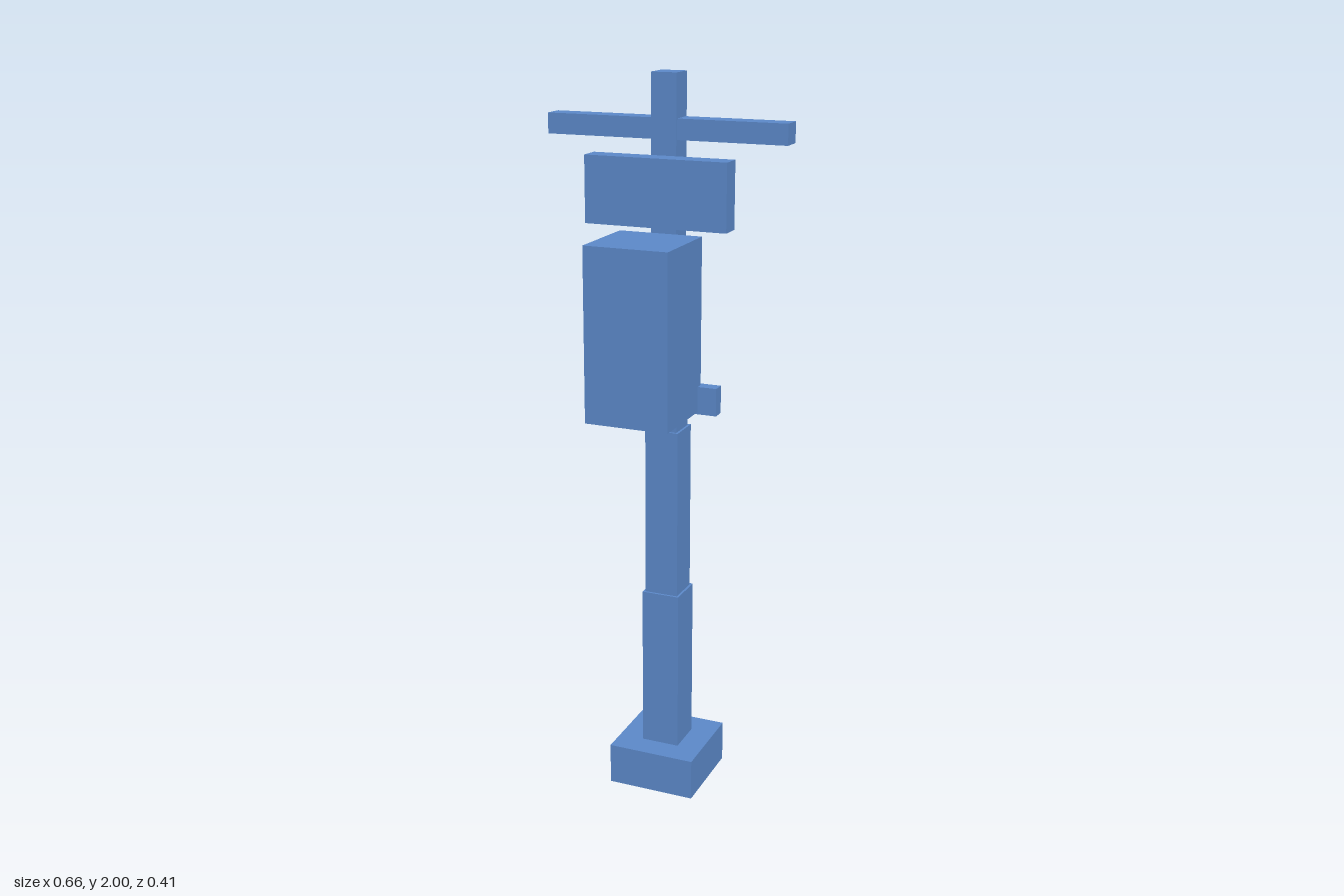
import * as THREE from 'three';

export function createModel() {
  const group = new THREE.Group();
  const blue = new THREE.MeshStandardMaterial({ color: 0x5b88c8 });
  blue.name = 'blue';

  // Box given by its lower and upper limits on each axis
  const box = (name, [x0, x1], [y0, y1], [z0, z1]) => {
    const mesh = new THREE.Mesh(new THREE.BoxGeometry(x1 - x0, y1 - y0, z1 - z0), blue);
    mesh.position.set((x0 + x1) / 2, (y0 + y1) / 2, (z0 + z1) / 2);
    mesh.name = name;
    group.add(mesh);
  };

  // Square parts centred on the pole axis
  const poleZ = -0.079;
  const square = (name, half, y0, y1) =>
    box(name, [-half, half], [y0, y1], [poleZ - half, poleZ + half]);

  square('base', 0.125, 0, 0.117);

  // Pole stepping inwards towards the top
  const heights = [0.117, 0.58, 1.055, 1.53, 2];
  [0.054, 0.0475, 0.041, 0.035].forEach((half, i) =>
    square(`poleSection${i + 1}`, half, heights[i], heights[i + 1]));

  // Fittings on the pole
  box('crossArm', [-0.331, 0.331], [1.832, 1.886], [-0.109, -0.05]);
  box('signPanel', [-0.196, 0.196], [1.615, 1.792], [-0.043, 0.016]);
  box('cabinet', [-0.115, 0.115], [1.132, 1.595], [-0.025, 0.203]);
  box('bracket', [-0.167, 0.167], [1.126, 1.201], [-0.039, -0.004]);

  return group;
}
